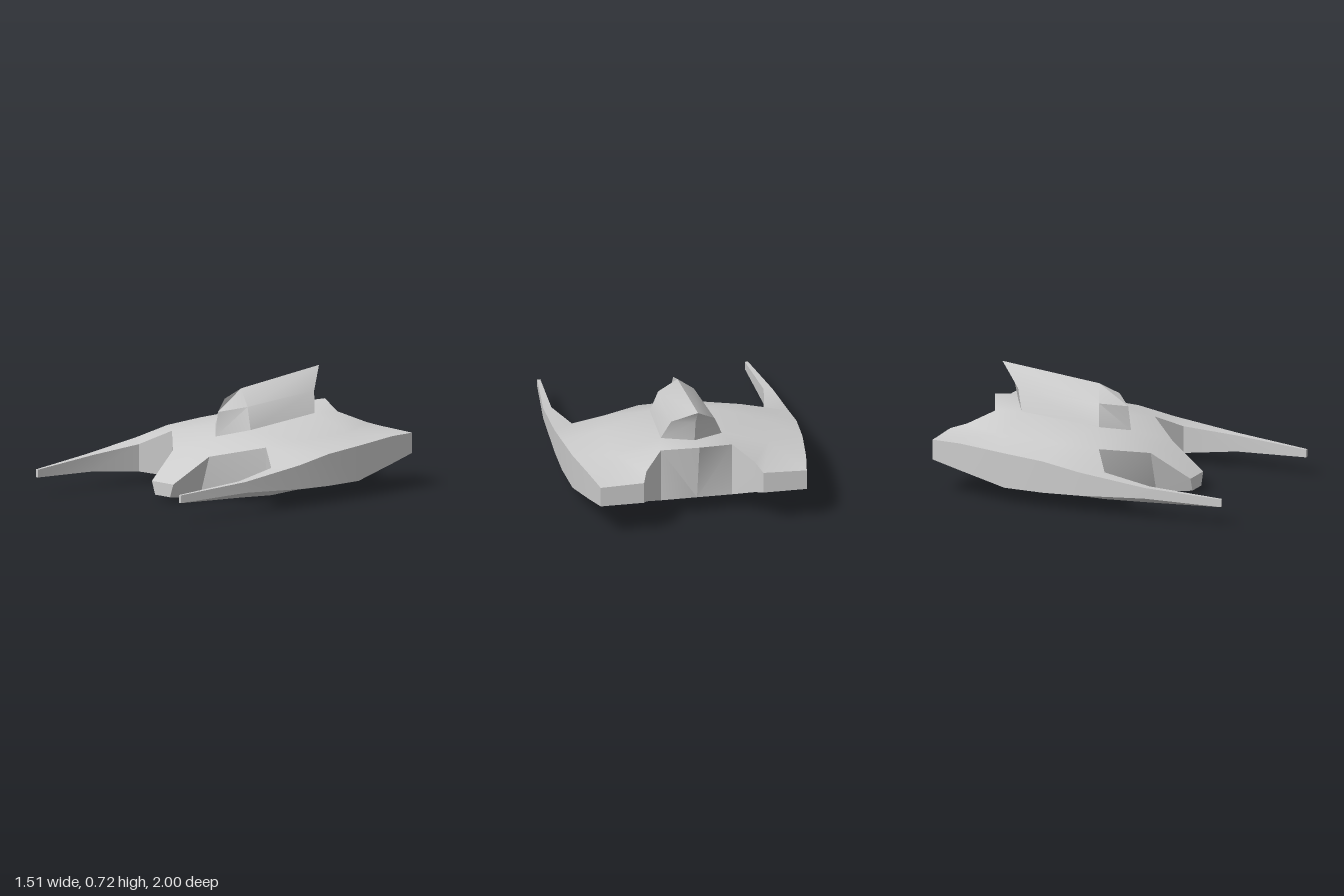
import * as THREE from 'three';
import { toCreasedNormals } from 'three/addons/utils/BufferGeometryUtils.js';

// Turns triangles of the +x half into a mirrored, creased mesh.
function mirroredMesh(name, triangles, crease) {
  const pos = [];
  for (const [a, b, c] of triangles) {
    pos.push(...a, ...b, ...c);
    for (const [x, y, z] of [a, c, b]) pos.push(-x, y, z);
  }
  const geo = new THREE.BufferGeometry();
  geo.setAttribute('position', new THREE.Float32BufferAttribute(pos, 3));
  const mesh = new THREE.Mesh(
    toCreasedNormals(geo, crease),
    new THREE.MeshStandardMaterial({ color: 0xcccccc, side: THREE.DoubleSide })
  );
  mesh.name = name;
  return mesh;
}

// Splits a convex polygon of points into a fan of triangles.
const fan = (p) => p.slice(2).map((q, i) => [p[0], p[i + 1], q]);

function createHull() {
  // Plan points: x, z, top height, bottom height.
  const plan = [
    [0, 0.535, 0.12, 0.035],       // 0 nose centre
    [0.1, 0.535, 0.12, 0.035],     // 1 nose corner
    [0.17, 0.29, 0.28, 0.005],     // 2 nose root
    [0.44, 0.05, 0.345, 0.05],     // 3 front notch
    [0.62, 0.17, 0.25, 0.075],     // 4 prong root
    [0.685, 0.51, 0.21, 0.105],    // 5 prong inside
    [0.66, 1, 0.175, 0.125],       // 6 prong tip
    [0.68, 1, 0.175, 0.125],       // 7
    [0.74, 0.5, 0.212, 0.142],     // 8 outer side
    [0.755, 0.05, 0.27, 0.117],    // 9
    [0.757, -0.2, 0.315, 0.11],    // 10
    [0.742, -0.47, 0.335, 0.11],   // 11
    [0.7, -0.8, 0.355, 0.18],      // 12
    [0.665, -1, 0.35, 0.22],       // 13 tail corners
    [0.385, -1, 0.358, 0.22],      // 14
    [0.35, -0.9, 0.39, 0.18],      // 15 rear notch
    [0.23, -0.76, 0.46, 0.11],     // 16
    [0, -0.86, 0.505, 0.12],       // 17 rear centre
    [0, 0.29, 0.285, 0.005],       // 18 inner points
    [0, 0.08, 0.365, 0.006],       // 19
    [0, -0.5, 0.455, 0.04],        // 20
    [0.165, -0.07, 0.41, 0.013],   // 21
    [0.197, -0.59, 0.465, 0.065],  // 22
    [0.5, -0.2, 0.368, 0.065],     // 23
    [0.5, -0.6, 0.38, 0.085]       // 24
  ];
  const top = plan.map(([x, z, t]) => [x, t, z]);
  const bottom = plan.map(([x, z, , b]) => [x, b, z]);
  // The nose sides and the rear wall lean inward below.
  bottom[1][0] = 0.07;
  bottom[2][0] = 0.08;
  bottom[17][2] = -0.78;

  const faces = [
    [0, 1, 2, 18], [18, 2, 19], [19, 2, 3], [19, 3, 21], [19, 21, 20],
    [21, 22, 20], [20, 22, 17], [22, 16, 17], [22, 24, 16], [21, 3, 23],
    [21, 23, 22], [22, 23, 24], [4, 5, 8, 9], [5, 6, 7, 8], [3, 4, 9],
    [3, 9, 10], [3, 10, 23], [23, 10, 11], [23, 11, 24], [24, 11, 12],
    [24, 12, 13], [24, 13, 14], [24, 14, 15], [24, 15, 16]
  ];
  const tris = [];
  // Deck and belly, each turned to face outward.
  for (const face of faces) {
    for (const [pts, up] of [[top, 1], [bottom, -1]]) {
      for (const [a, b, c] of fan(face.map((i) => pts[i]))) {
        const ny = (b[2] - a[2]) * (c[0] - a[0]) - (b[0] - a[0]) * (c[2] - a[2]);
        tris.push(ny * up > 0 ? [a, b, c] : [a, c, b]);
      }
    }
  }
  // Side walls around the outline.
  for (let i = 0; i < 17; i++) {
    tris.push(...fan([top[i], bottom[i], bottom[i + 1], top[i + 1]]));
  }
  return mirroredMesh('hull', tris, 0.6);
}

function createFin() {
  // Rows from base to ridge, each running from the front round to the back.
  const rows = [
    [[0, 0.365, 0.08], [0.165, 0.41, -0.07], [0.197, 0.465, -0.59], [0, 0.48, -0.7]],
    [[0, 0.52, 0.06], [0.115, 0.55, -0.09], [0.14, 0.597, -0.64], [0, 0.62, -0.73]],
    [[0, 0.6, 0], [0, 0.65, -0.14], [0, 0.725, -0.81], [0, 0.725, -0.81]]
  ];
  const tris = [];
  for (let r = 0; r < 2; r++) {
    for (let c = 0; c < 3; c++) {
      const [lo, hi] = [rows[r], rows[r + 1]];
      const quad = [lo[c], lo[c + 1], hi[c + 1], hi[c]];
      tris.push(...fan(r === 1 && c === 2 ? quad.slice(0, 3) : quad));
    }
  }
  return mirroredMesh('dorsalFin', tris, 0.6);
}

export function createModel() {
  const model = new THREE.Group();
  model.name = 'spacecraft';
  model.add(createHull(), createFin());
  return model;
}
